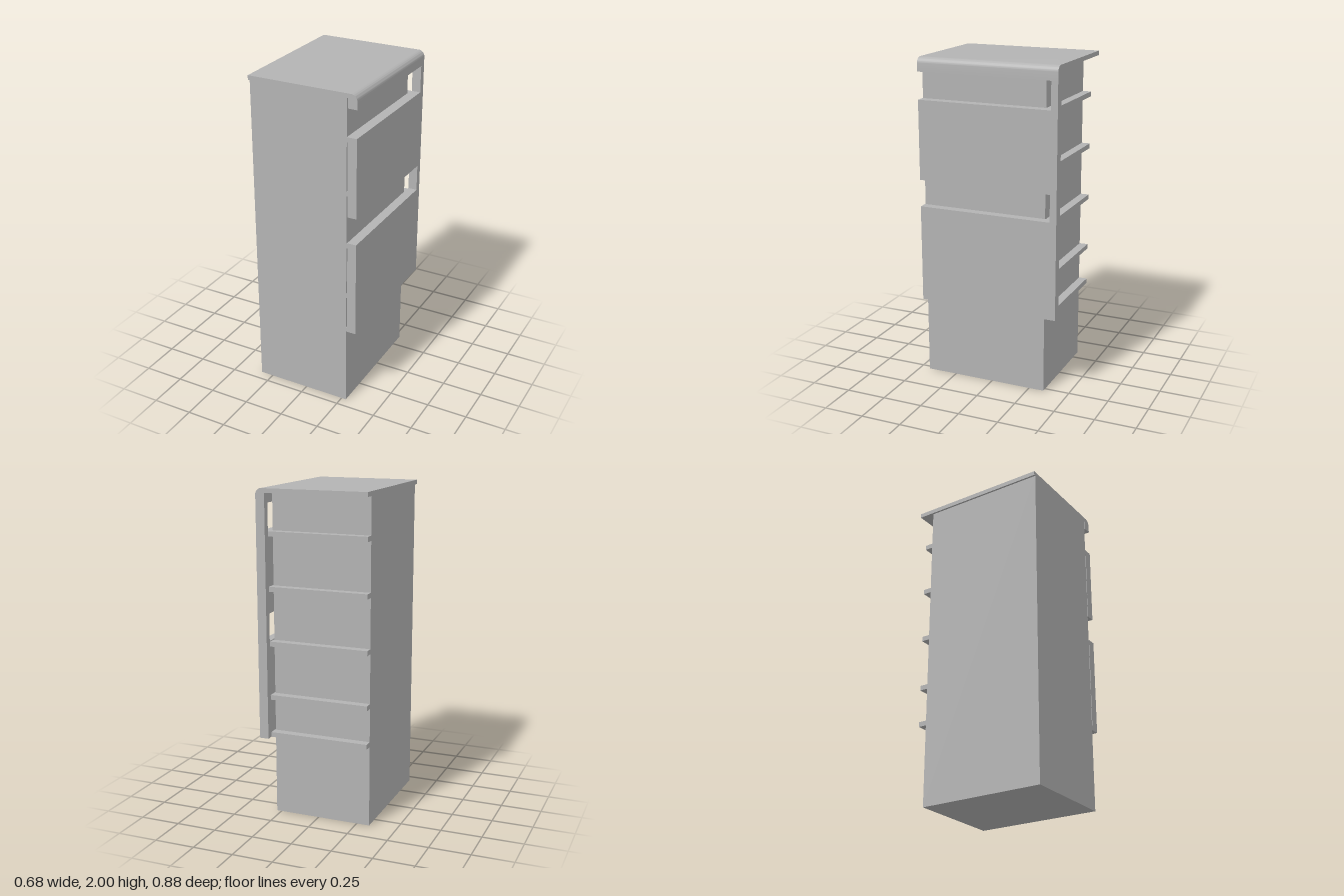
import * as THREE from 'three';
import { toCreasedNormals } from 'three/addons/utils/BufferGeometryUtils.js';

export function createModel() {
  const model = new THREE.Group();
  model.name = 'slottedCabinet';
  const grey = new THREE.MeshStandardMaterial({ color: 0xb3b3b3 });
  grey.name = 'plain grey';

  // Box given by its limits on each axis
  const box = (name, x0, x1, y0, y1, z0, z1) => {
    const mesh = new THREE.Mesh(new THREE.BoxGeometry(x1 - x0, y1 - y0, z1 - z0), grey);
    mesh.position.set((x0 + x1) / 2, (y0 + y1) / 2, (z0 + z1) / 2);
    mesh.name = name;
    model.add(mesh);
  };

  const front = 0.438, back = -0.438, bodyBack = -0.345;
  const inner = 0.286, outer = 0.342, slotTop = 1.915, under = 1.973;

  // Main body
  box('body', -0.33, 0.28, 0, under, bodyBack, front);

  // Top sheet folding down over the side with a rounded corner
  const r = 0.037;
  const profile = new THREE.Shape();
  profile.moveTo(-0.342, under);
  profile.lineTo(inner, under);
  profile.lineTo(inner, slotTop);
  profile.lineTo(outer, slotTop);
  profile.lineTo(outer, 2 - r);
  profile.absarc(outer - r, 2 - r, r, 0, Math.PI / 2, false);
  profile.lineTo(-0.342, 2);
  profile.closePath();
  const sheet = new THREE.ExtrudeGeometry(profile, {
    depth: front - back, bevelEnabled: false, curveSegments: 8,
  });
  const cover = new THREE.Mesh(toCreasedNormals(sheet, 0.5), grey);
  cover.position.z = back;
  cover.name = 'foldedTop';
  model.add(cover);

  // Side panel: an upright at the back joins two plates, leaving open slots
  const slotEnd = -0.397;
  box('sideUpright', inner, outer, 0.5, slotTop, back, slotEnd);
  box('upperSidePlate', inner, outer, 1.265, 1.75, slotEnd, front);
  box('lowerSidePlate', inner, outer, 0.5, 1.1, slotEnd, front);

  // Rails across the back, bridging the narrow gap to the side panel
  for (const y of [1.735, 1.41, 1.08, 0.75, 0.515]) {
    box('backRail', -0.33, inner, y - 0.015, y + 0.015, slotEnd, bodyBack);
    box('gapSpacer', 0.28, inner, y - 0.015, y + 0.015, bodyBack, front);
  }

  return model;
}
